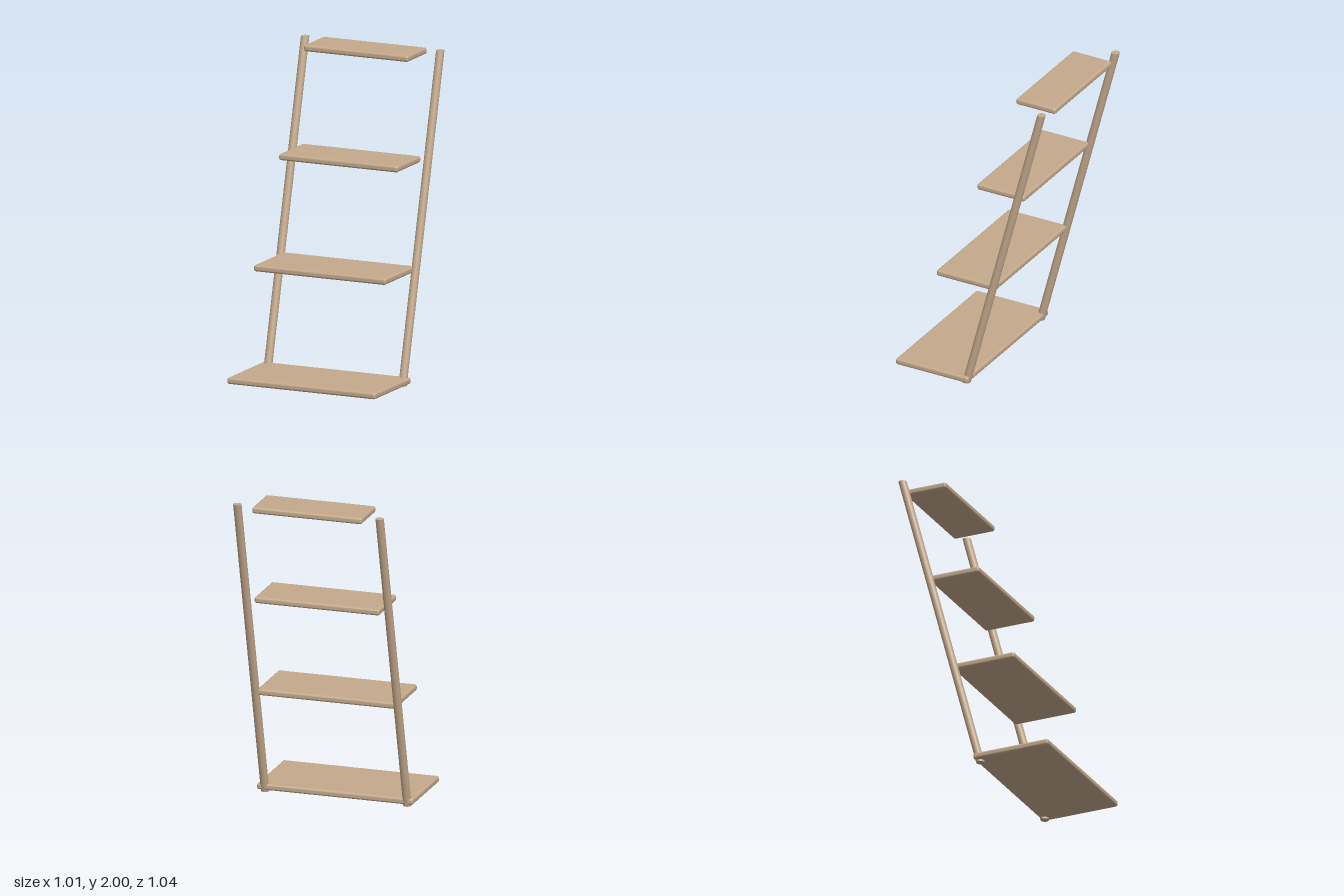
import * as THREE from 'three';
import { RoundedBoxGeometry } from 'three/addons/geometries/RoundedBoxGeometry.js';

export function createModel() {
  const group = new THREE.Group();
  group.name = 'ladderShelf';

  const wood = new THREE.MeshStandardMaterial({ color: 0xc4a98c });
  wood.name = 'light wood';

  // Shelves, bottom to top: half width, centre height, back z, front z
  const thickness = 0.04;
  const shelves = [
    ['bottomShelf', 0.505, 0.033, 0.01, 0.518],
    ['lowerShelf', 0.449, 0.693, -0.153, 0.262],
    ['upperShelf', 0.404, 1.342, -0.332, 0.002],
    ['topShelf', 0.355, 1.98, -0.521, -0.245],
  ];
  for (const [name, halfWidth, y, back, front] of shelves) {
    const geometry = new RoundedBoxGeometry(halfWidth * 2, thickness, front - back, 3, 0.014);
    const shelf = new THREE.Mesh(geometry, wood);
    shelf.name = name;
    shelf.position.set(0, y, (front + back) / 2);
    group.add(shelf);
  }

  // Leaning round posts, sheared so both ends are cut level
  const bottomZ = 0.041, topZ = -0.486, height = 2;
  const lean = (topZ - bottomZ) / height;
  const shear = new THREE.Matrix4().set(
    1, 0, 0, 0,
    0, 1, 0, 0,
    0, lean, 1, 0,
    0, 0, 0, 1,
  );
  const postGeometry = new THREE.CylinderGeometry(0.026, 0.026, height, 24).applyMatrix4(shear);
  for (const side of [1, -1]) {
    const post = new THREE.Mesh(postGeometry, wood);
    post.name = side > 0 ? 'leftPost' : 'rightPost';
    post.position.set(side * 0.46, height / 2, (bottomZ + topZ) / 2);
    group.add(post);
  }

  return group;
}
